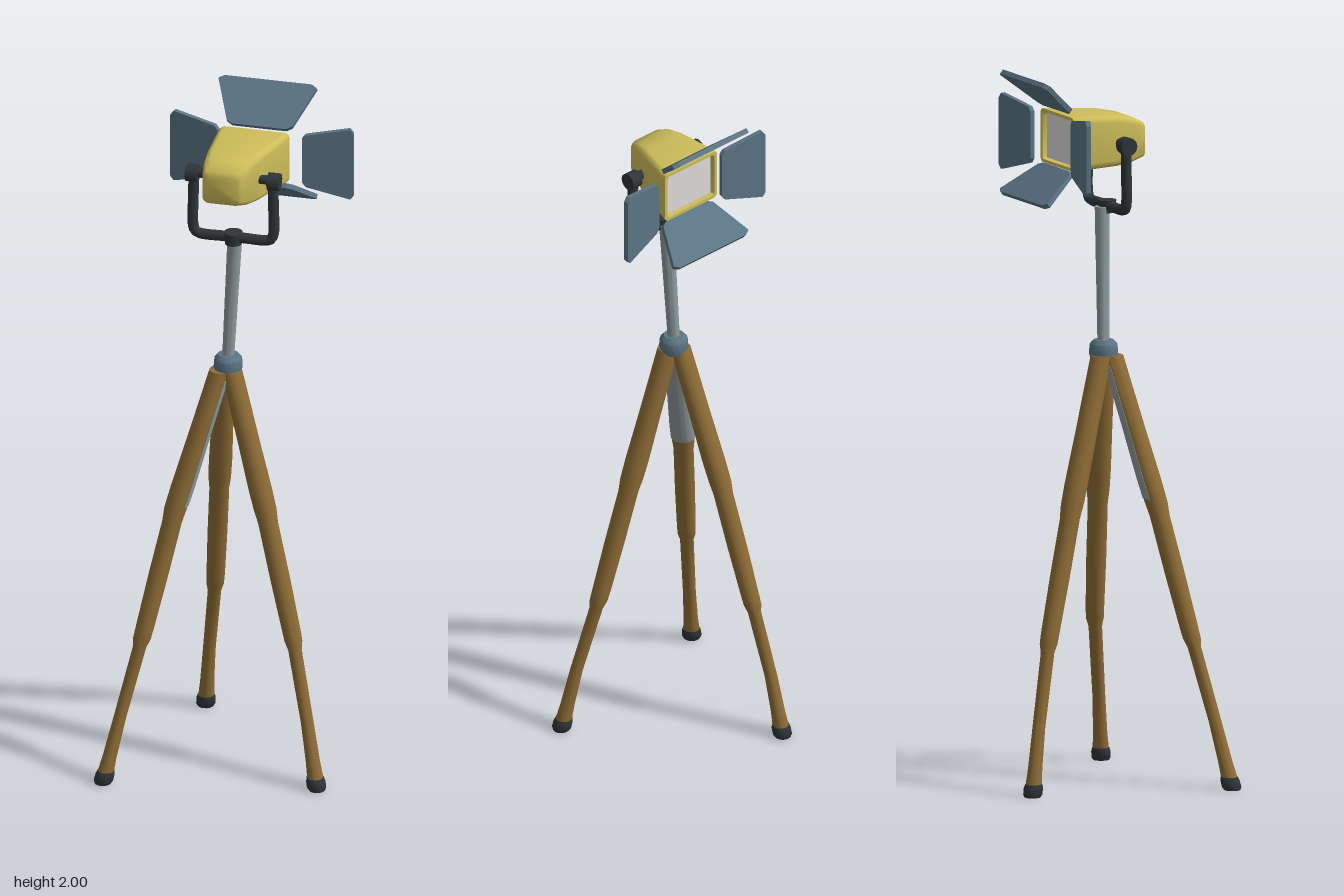
import * as THREE from 'three';
import { toCreasedNormals } from 'three/addons/utils/BufferGeometryUtils.js';

const mat = (name, color) => {
  const m = new THREE.MeshStandardMaterial({ color });
  m.name = name;
  return m;
};

// Closed skin over a list of rings (arrays of Vector3 of equal length).
function loft(rings, crease = 0.7) {
  const n = rings[0].length, pos = [], idx = [];
  rings.forEach(r => r.forEach(p => pos.push(p.x, p.y, p.z)));
  for (let i = 0; i < rings.length - 1; i++)
    for (let j = 0; j < n; j++) {
      const a = i * n + j, b = i * n + (j + 1) % n;
      idx.push(a, b, a + n, b, b + n, a + n);
    }
  const last = (rings.length - 1) * n;
  for (let j = 1; j < n - 1; j++) idx.push(0, j + 1, j, last, last + j, last + j + 1);
  // keep faces outward whichever way the rings run
  const v = k => new THREE.Vector3().fromArray(pos, idx[k] * 3);
  let volume = 0;
  for (let k = 0; k < idx.length; k += 3) volume += v(k).dot(v(k + 1).cross(v(k + 2)));
  if (volume < 0) idx.reverse();
  const g = new THREE.BufferGeometry();
  g.setAttribute('position', new THREE.Float32BufferAttribute(pos, 3));
  g.setIndex(idx);
  return toCreasedNormals(g, crease);
}

// Horizontal circle, or the +x side of it when half is set.
function circle(x, y, z, r, half = false) {
  const n = 16;
  return Array.from({ length: n }, (_, i) => {
    const a = half ? -1.4 + 2.8 * i / (n - 1) : i / n * Math.PI * 2;
    return new THREE.Vector3(x + r * Math.cos(a), y, z + r * Math.sin(a));
  });
}

// Rounded rectangle facing local z.
function roundRect(cx, cy, z, hw, hh, r) {
  const pts = [];
  [[1, 1], [-1, 1], [-1, -1], [1, -1]].forEach(([sx, sy], q) => {
    for (let k = 0; k <= 4; k++) {
      const a = (q + k / 4) * Math.PI / 2;
      pts.push(new THREE.Vector3(cx + sx * (hw - r) + r * Math.cos(a), cy + sy * (hh - r) + r * Math.sin(a), z));
    }
  });
  return pts;
}

// Thin panel with clipped corners from four corner points.
function panel(corners, t = 0.007) {
  const c = corners.map(p => new THREE.Vector3(...p));
  const normal = c[1].clone().sub(c[0]).cross(c[3].clone().sub(c[0])).normalize();
  const outline = [];
  c.forEach((p, i) => {
    outline.push(p.clone().lerp(c[(i + 3) % 4], 0.07), p.clone().lerp(c[(i + 1) % 4], 0.07));
  });
  return loft([-t, t].map(d => outline.map(p => p.clone().addScaledVector(normal, d))), 0.4);
}

export function createModel() {
  const wood = mat('brown wood', 0x8f6d35);
  const yellow = mat('yellow paint', 0xcdbd5a);
  const slate = mat('slate metal', 0x5b7484);
  const dark = mat('dark rubber', 0x2f3538);
  const steel = mat('grey steel', 0x8f9a9d);
  const lens = mat('lens white', 0xdedcda);
  const model = new THREE.Group();
  const add = (parent, name, geometry, material) => {
    const m = new THREE.Mesh(geometry, material);
    m.name = name;
    parent.add(m);
    return m;
  };

  // Tripod legs: centre line [x, z] at the key heights
  const heights = [1.205, 0.8, 0.43, 0.19, 0];
  const legs = {
    rightLeg: [[0.008, 0], [-0.125, -0.02], [-0.228, -0.025], [-0.3, -0.03], [-0.352, -0.035]],
    frontLeg: [[0.035, 0.015], [0.085, 0.115], [0.122, 0.203], [0.13, 0.268], [0.136, 0.31]],
    backLeg: [[0.035, -0.018], [0.085, -0.13], [0.125, -0.22], [0.138, -0.275], [0.146, -0.308]],
  };
  const at = (path, y) => {
    let i = 0;
    while (i < 3 && y < heights[i + 1]) i++;
    const f = (heights[i] - y) / (heights[i] - heights[i + 1]);
    return path[i].map((p, k) => p + (path[i + 1][k] - p) * f);
  };
  const legRings = (path, profile, half) => profile.map(([y, r]) => {
    const [x, z] = at(path, y);
    return circle(x, y, z, r, half);
  });
  const legProfile = [[1.205, 0.03], [1.0, 0.031], [0.86, 0.033], [0.8, 0.032], [0.76, 0.028], [0.6, 0.028],
    [0.45, 0.026], [0.42, 0.025], [0.395, 0.019], [0.19, 0.018], [0.08, 0.02], [0.03, 0.023]];
  for (const [name, path] of Object.entries(legs)) {
    add(model, name, loft(legRings(path, legProfile)), wood);
    add(model, name + 'Foot', loft(legRings(path, [[0.036, 0.024], [0.025, 0.027], [0.008, 0.027], [0, 0.023]])), dark);
  }
  // Steel strip on the inner face of one upper leg
  add(model, 'legInnerRail', loft(legRings(legs.rightLeg,
    [[1.18, 0.032], [1.0, 0.033], [0.86, 0.035], [0.81, 0.034]], true)), steel);

  // Collar and column
  add(model, 'collar', loft([circle(0.033, 1.195, 0, 0.038), circle(0.034, 1.21, 0, 0.041),
    circle(0.034, 1.235, 0, 0.039), circle(0.034, 1.247, 0, 0.028)]), slate);
  add(model, 'column', loft([circle(0.034, 1.235, 0, 0.017), circle(0.044, 1.62, 0.02, 0.021)]), steel);

  // Lamp head, local +z along the beam
  const head = new THREE.Group();
  head.name = 'lampHead';
  head.position.set(0.033, 1.81, 0.03);
  head.rotation.y = Math.PI * 0.75;
  model.add(head);

  // Housing with a recessed front
  add(head, 'housing', loft([
    roundRect(0.012, 0, -0.09, 0.045, 0.038, 0.015),
    roundRect(0.012, 0, -0.084, 0.056, 0.049, 0.018),
    roundRect(0.006, 0.003, -0.045, 0.068, 0.065, 0.02),
    roundRect(-0.002, 0.004, 0, 0.078, 0.072, 0.02),
    roundRect(-0.024, 0.004, 0.135, 0.1, 0.077, 0.016),
    roundRect(-0.026, 0.004, 0.143, 0.099, 0.076, 0.014),
    roundRect(-0.026, 0.004, 0.143, 0.089, 0.067, 0.01),
    roundRect(-0.026, 0.004, 0.12, 0.088, 0.066, 0.01),
  ]), yellow);
  add(head, 'lens', new THREE.BoxGeometry(0.172, 0.128, 0.008), lens).position.set(-0.026, 0.004, 0.126);

  // Barn doors
  const cx = -0.04;
  for (const [name, y0, y1] of [['topDoor', 0.092, 0.184], ['bottomDoor', -0.08, -0.16]])
    add(head, name, panel([[cx - 0.09, y0, 0.135], [cx + 0.09, y0, 0.135],
      [cx + 0.145, y1, 0.245], [cx - 0.145, y1, 0.245]]), slate);
  for (const s of [-1, 1])
    add(head, s < 0 ? 'frontSideDoor' : 'backSideDoor', panel([[cx + s * 0.12, -0.08, 0.15], [cx + s * 0.12, 0.075, 0.15],
      [cx + s * 0.262, 0.1, 0.175], [cx + s * 0.262, -0.12, 0.175]]), slate);

  // Yoke
  const arm = [[0.113, 0], [0.115, -0.08], [0.115, -0.165], [0.107, -0.183], [0.09, -0.188], [0.03, -0.188]];
  const yokePoints = [...arm, ...arm.map(([x, y]) => [-x, y]).reverse()].map(([x, y]) => new THREE.Vector3(x, y, 0));
  add(head, 'yoke', new THREE.TubeGeometry(new THREE.CatmullRomCurve3(yokePoints), 60, 0.015, 10), dark);
  add(head, 'yokeBase', new THREE.CylinderGeometry(0.026, 0.024, 0.035, 16), dark).position.set(0, -0.19, 0);
  for (const s of [-1, 1]) {
    const pivot = add(head, 'pivotPin', new THREE.CylinderGeometry(0.013, 0.013, 0.07, 12), dark);
    pivot.position.set(s * 0.09, 0, 0);
    pivot.rotation.z = Math.PI / 2;
    const knob = add(head, 'pivotKnob', new THREE.CylinderGeometry(0.025, 0.025, 0.034, 12), dark);
    knob.position.set(s * 0.117, -0.003, 0);
    knob.rotation.z = Math.PI / 2;
  }
  return model;
}
